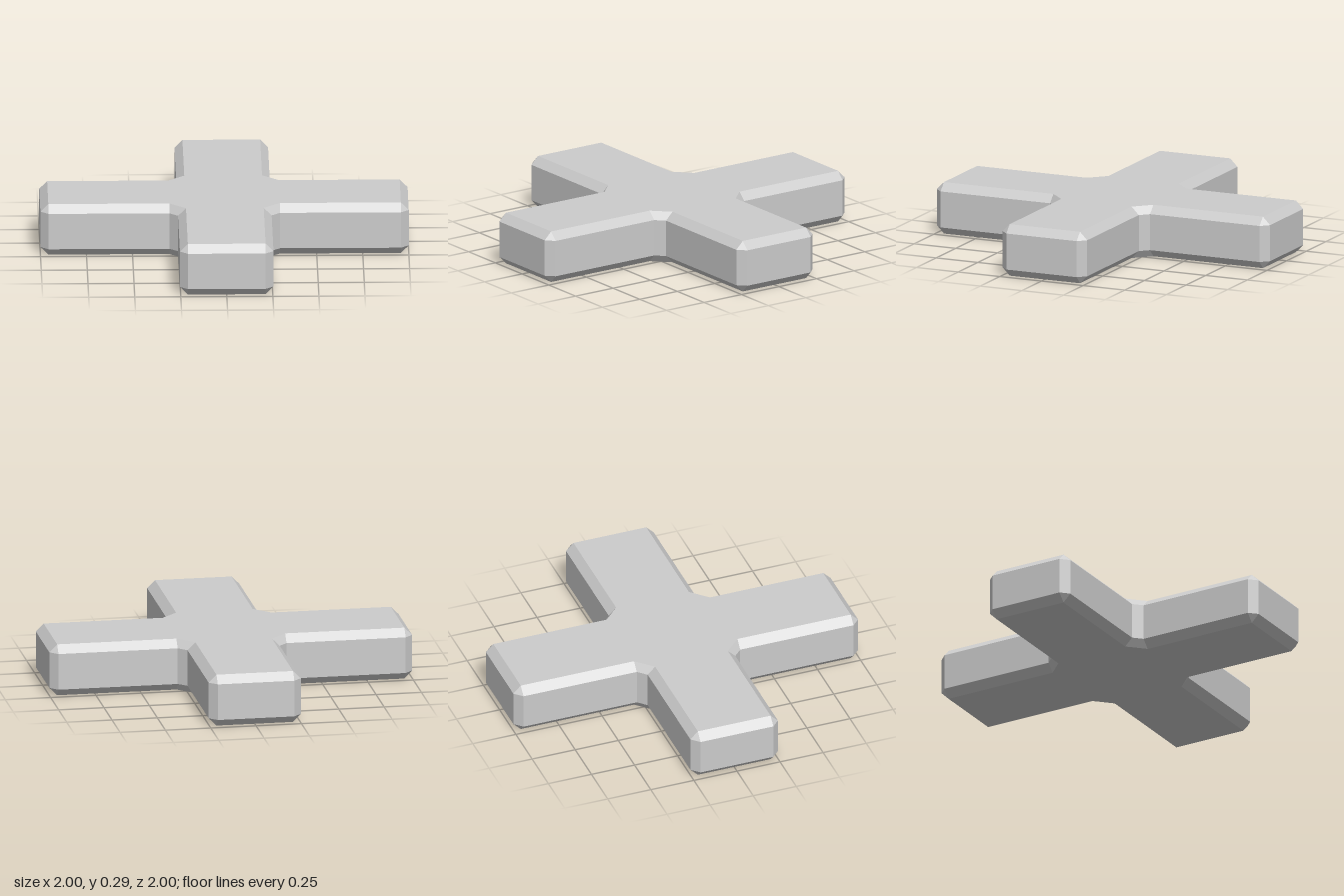
import * as THREE from 'three';

const W = 0.254;        // half width of an arm
const C = 0.043;        // chamfer
const H = 0.287;        // thickness
const I = 0.3;          // where the inner corner fillet starts
const w = W - C, e = 1 - C;

// Repeats one quadrant's [x, z] points around the centre.
function ring(quadrant) {
  const points = [];
  for (let q = 0; q < 4; q++) {
    for (const [x, z] of quadrant) {
      let p = [x, z];
      for (let k = 0; k < q; k++) p = [-p[1], p[0]];
      points.push(p);
    }
  }
  return points;
}

function crossGeometry() {
  const wall = ring([[1, w], [e, W], [I, W], [W, I], [W, e], [w, 1]]);
  const face = ring([[e, w], [e, w], [I, w], [w, I], [w, e], [w, e]]);
  const outline = ring([[e, w], [I, w], [w, I], [w, e]]);
  const levels = [[face, 0], [wall, C], [wall, H - C], [face, H]];
  const positions = [];
  const add = (...corners) => corners.forEach((c) => positions.push(...c));
  const at = ([points, y], i) => {
    const [x, z] = points[i % points.length];
    return [x, y, z];
  };

  // Lower chamfer, walls and upper chamfer; corner facets become triangles
  for (let l = 0; l < 3; l++) {
    for (let i = 0; i < wall.length; i++) {
      const a = at(levels[l], i), b = at(levels[l], i + 1);
      const c = at(levels[l + 1], i + 1), d = at(levels[l + 1], i);
      const same = (p, q) => p[0] === q[0] && p[2] === q[2];
      if (!same(c, d)) add(a, d, c);
      if (!same(a, b)) add(a, c, b);
    }
  }

  // Flat top and underside
  const flat = outline.map(([x, z]) => new THREE.Vector2(x, z));
  for (const [i, j, k] of THREE.ShapeUtils.triangulateShape(flat, [])) {
    add(at([outline, 0], i), at([outline, 0], j), at([outline, 0], k));
    add(at([outline, H], i), at([outline, H], k), at([outline, H], j));
  }

  const geometry = new THREE.BufferGeometry();
  geometry.setAttribute('position', new THREE.Float32BufferAttribute(positions, 3));
  geometry.computeVertexNormals();
  return geometry;
}

export function createModel() {
  const group = new THREE.Group();
  const cross = new THREE.Mesh(
    crossGeometry(),
    new THREE.MeshStandardMaterial({ color: 0xcccccc, flatShading: true })
  );
  cross.name = 'chamferedCross';
  group.add(cross);
  return group;
}
